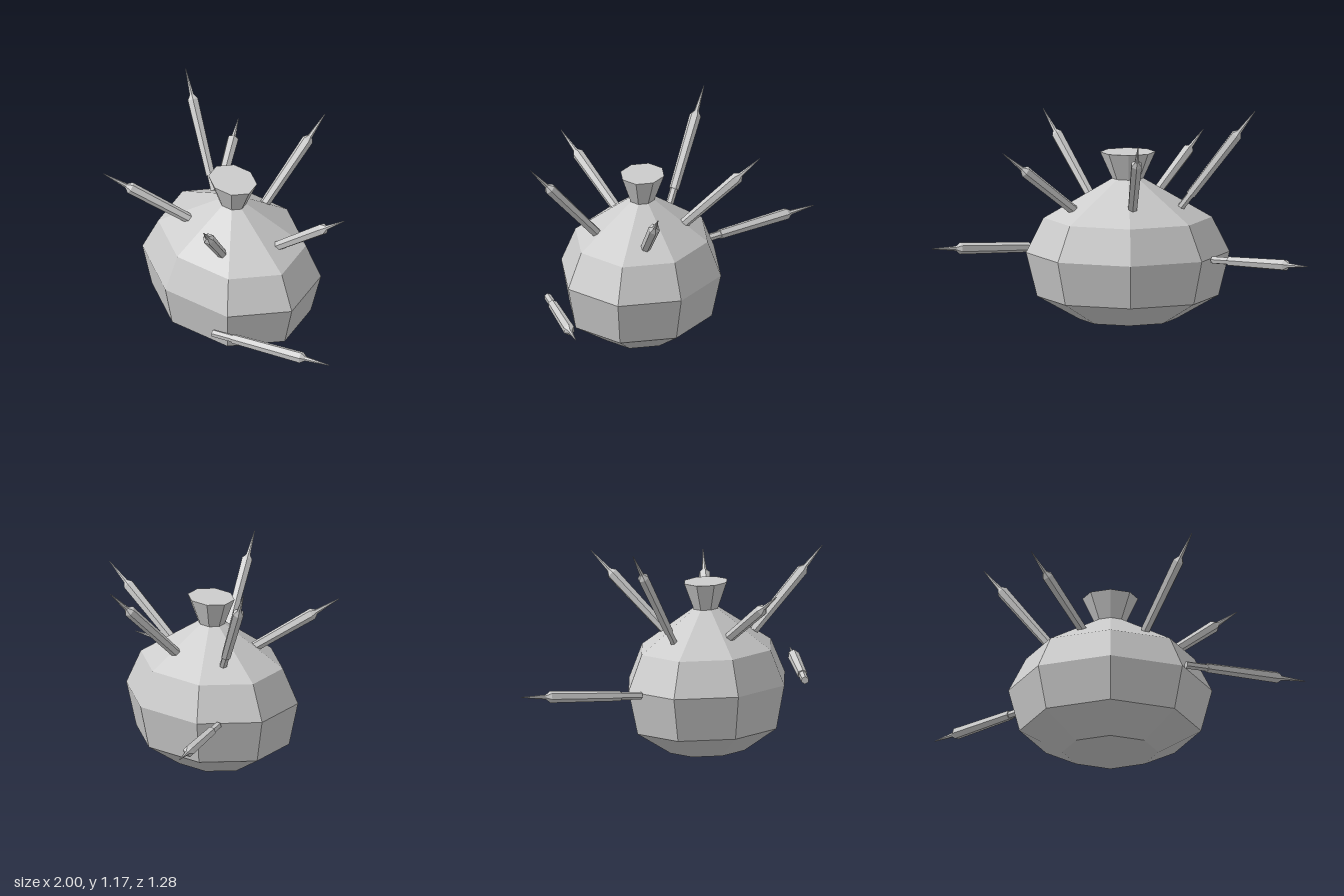
import * as THREE from 'three';

const grey = new THREE.MeshStandardMaterial({ color: 0xcccccc, flatShading: true });
grey.name = 'plain grey';

// Faceted solid of revolution from [radius, height] pairs, bottom to top
function turned(name, profile, sides) {
  const points = profile.map(([r, y]) => new THREE.Vector2(r, y));
  const mesh = new THREE.Mesh(new THREE.LatheGeometry(points, sides), grey);
  mesh.name = name;
  return mesh;
}

export function createModel() {
  const model = new THREE.Group();
  model.name = 'spikedPot';

  // Eight-sided oval pot with a slight backward tilt
  const pot = new THREE.Group();
  pot.name = 'pot';
  pot.add(turned('body', [
    [0, 0.012], [0.26, 0.012], [0.49, 0.14], [0.55, 0.38], [0.455, 0.57], [0.085, 0.785],
  ], 8));
  // Flared, closed neck
  pot.add(turned('neck', [[0.085, 0.785], [0.15, 0.93], [0, 0.93]], 8));
  pot.position.set(-0.053, 0, 0.098);
  pot.scale.z = 0.805;
  pot.rotation.x = -0.012;
  model.add(pot);

  // Spikes: where each meets the pot, and its tip
  const spikes = [
    ['lowRightSpike', [-0.5, 0.37, -0.12], [-1, 0.42, -0.64]],
    ['lowLeftSpike', [0.355, 0.337, 0.515], [1, 0.382, 0.21]],
    ['upperRightSpike', [-0.33, 0.63, 0.005], [-0.735, 1.18, -0.095]],
    ['upperLeftSpike', [0.24, 0.625, 0], [0.63, 0.965, -0.16]],
    ['backSpike', [-0.07, 0.64, -0.125], [-0.087, 1.067, -0.555]],
    ['frontRightSpike', [-0.19, 0.645, 0.255], [-0.48, 0.955, 0.637]],
    ['frontLeftSpike', [0.125, 0.625, 0.285], [0.387, 1.08, 0.603]],
  ];
  const up = new THREE.Vector3(0, 1, 0);
  for (const [name, from, to] of spikes) {
    const tip = new THREE.Vector3(...to);
    const direction = tip.clone().sub(new THREE.Vector3(...from)).normalize();
    const spike = new THREE.Group();
    spike.name = name;
    // Heights run down from the tip at 0
    spike.add(turned('shaft', [[0, -0.715], [0.021, -0.715], [0.021, -0.59]], 6));
    spike.add(turned('grip', [
      [0.021, -0.59], [0.027, -0.59], [0.032, -0.17], [0.013, -0.145],
    ], 6));
    spike.add(turned('needle', [[0.013, -0.145], [0.002, 0], [0, 0]], 6));
    spike.quaternion.setFromUnitVectors(up, direction);
    spike.position.copy(tip);
    model.add(spike);
  }
  return model;
}
